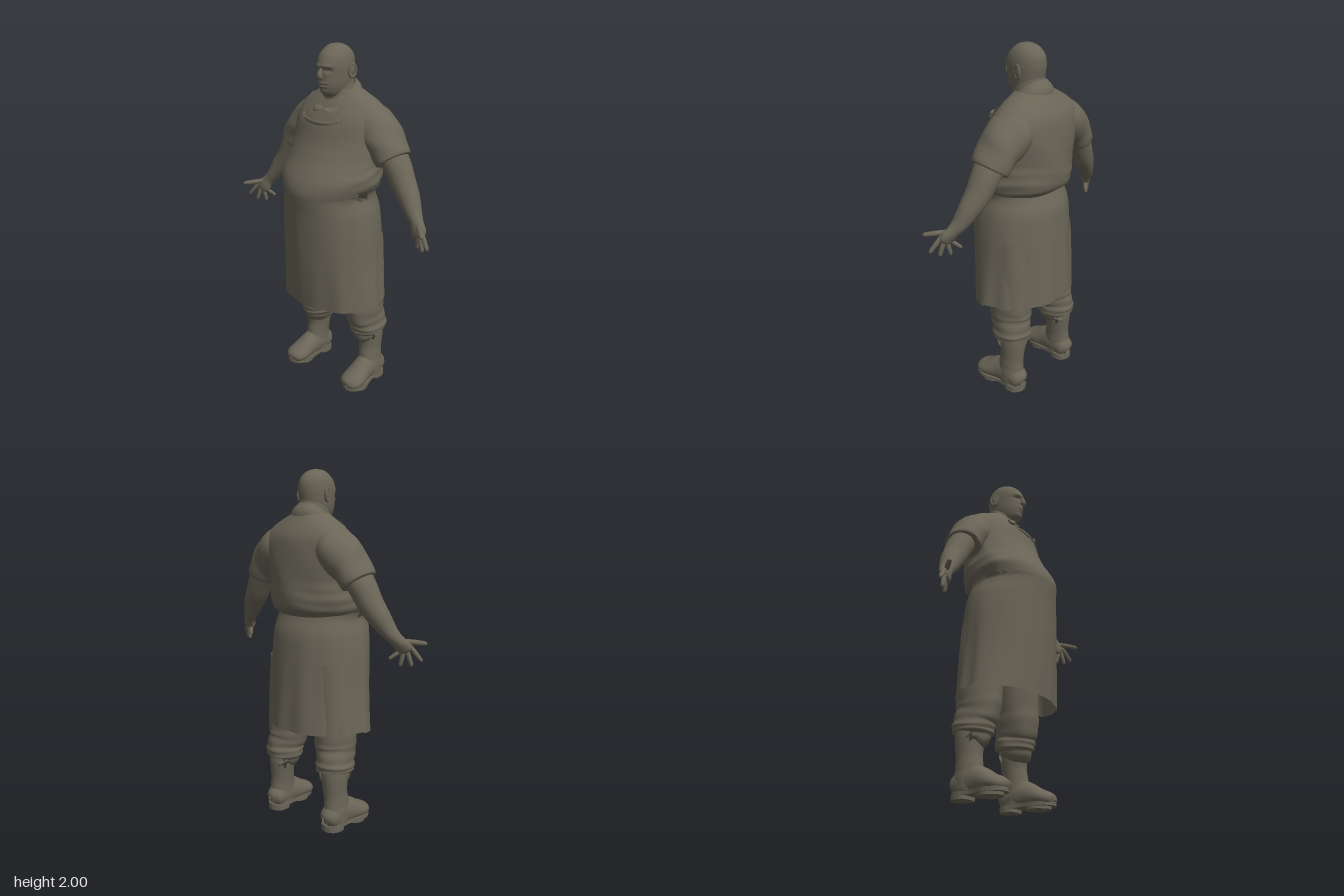
import * as THREE from 'three';

const clay = new THREE.MeshStandardMaterial({ color: 0x6a6557, side: THREE.DoubleSide });
clay.name = 'umberClay';
const { sin, cos, abs, max, min, exp, PI } = Math;
const V = (x, y, z) => new THREE.Vector3(x, y, z);
const lerp = THREE.MathUtils.lerp;
const bump = (d, w) => exp(-(d * d) / (w * w));

// Smooth interpolation of table rows, keyed on the ascending first column
function sample(rows, t) {
  const n = rows.length - 1;
  t = min(max(t, rows[0][0]), rows[n][0]);
  let i = 0;
  while (i < n - 1 && t > rows[i + 1][0]) i++;
  const a = rows[i], b = rows[i + 1], p = rows[max(i - 1, 0)], q = rows[min(i + 2, n)];
  const h = b[0] - a[0], s = (t - a[0]) / h, s2 = s * s, s3 = s2 * s;
  return a.map((_, k) => {
    const m0 = (b[k] - p[k]) / (b[0] - p[0]), m1 = (q[k] - a[k]) / (q[0] - a[0]);
    return (2 * s3 - 3 * s2 + 1) * a[k] + (s3 - 2 * s2 + s) * h * m0
      + (3 * s2 - 2 * s3) * b[k] + (s3 - s2) * h * m1;
  });
}

// Surface from fn(u, v); closed joins the u ends with smooth normals
function grid(name, nu, nv, closed, fn) {
  const pos = [], idx = [], w = closed ? nu : nu + 1;
  for (let j = 0; j <= nv; j++)
    for (let i = 0; i < w; i++) pos.push(...fn(i / nu, j / nv).toArray());
  for (let j = 0; j < nv; j++)
    for (let i = 0; i < nu; i++) {
      const a = j * w + i, b = j * w + (i + 1) % w;
      idx.push(a, b, a + w, b, b + w, a + w);
    }
  const g = new THREE.BufferGeometry();
  g.setAttribute('position', new THREE.Float32BufferAttribute(pos, 3));
  g.setIndex(idx);
  g.computeVertexNormals();
  return part(name, g);
}

function part(name, geo, x = 0, y = 0, z = 0) {
  const m = new THREE.Mesh(geo, clay);
  m.name = name;
  m.position.set(x, y, z);
  return m;
}

// Tube through rows [x, y, z, radiusAcross, radiusAlongRef]
function tube(name, rows, ref, { nu = 24, nv = 32, fold = () => 0, floor = -1 } = {}) {
  const keyed = rows.map((r, i) => [i, ...r]), n = rows.length - 1;
  return grid(name, nu, nv, true, (u, v) => {
    const [, x, y, z, a, b] = sample(keyed, v * n);
    const p0 = sample(keyed, v * n - 0.05), p1 = sample(keyed, v * n + 0.05);
    const t = V(p1[1] - p0[1], p1[2] - p0[2], p1[3] - p0[3]).normalize();
    const A = t.clone().cross(ref).normalize(), B = A.clone().cross(t);
    const th = u * 2 * PI, k = 1 + fold(th, v);
    const p = V(x, y, z).addScaledVector(A, sin(th) * max(a, 0.001) * k)
      .addScaledVector(B, cos(th) * max(b, 0.001) * k);
    p.y = max(p.y, floor);
    return p;
  });
}

// Point on a horizontal section [y, halfWidth, centreZ, frontZ, backZ]; angle 0 faces front
function ring([y, rx, cz, zf, zb], th, k = 1) {
  const c = cos(th);
  return V(max(rx, 0) * k * sin(th), y, cz + c * (c > 0 ? zf - cz : cz - zb) * k);
}

const shirtRows = [
  [1.17, 0.21, 0, 0.2, -0.17], [1.215, 0.25, 0, 0.245, -0.205], [1.245, 0.277, 0.01, 0.26, -0.25],
  [1.3, 0.293, 0.02, 0.24, -0.265], [1.4, 0.28, -0.01, 0.182, -0.265], [1.5, 0.29, -0.06, 0.135, -0.262],
  [1.6, 0.3, -0.09, 0.1, -0.252], [1.65, 0.28, -0.095, 0.075, -0.24], [1.7, 0.225, -0.09, 0.045, -0.212],
  [1.735, 0.165, -0.08, 0.02, -0.188], [1.765, 0.11, -0.07, 0.0, -0.165]];
// Last column: half-width of the apron front
const apronRows = [
  [0.54, 0.332, 0, 0.228, -0.275, 1], [0.8, 0.308, 0, 0.25, -0.262, 1], [1.0, 0.3, 0, 0.262, -0.25, 1],
  [1.12, 0.287, 0, 0.27, -0.237, 1], [1.2, 0.268, 0, 0.279, -0.205, 0.3], [1.24, 0.279, 0.01, 0.28, -0.195, 0.268],
  [1.3, 0.298, 0.02, 0.26, -0.2, 0.25], [1.4, 0.285, -0.01, 0.201, -0.2, 0.207], [1.5, 0.295, -0.06, 0.155, -0.2, 0.178],
  [1.6, 0.3, -0.09, 0.125, -0.2, 0.158], [1.66, 0.28, -0.09, 0.088, -0.2, 0.148]];
const headRows = [
  [1.71, 0.004, -0.01, 0.02, -0.04], [1.725, 0.045, -0.02, 0.05, -0.08], [1.75, 0.066, -0.03, 0.075, -0.11],
  [1.79, 0.079, -0.03, 0.088, -0.125], [1.84, 0.085, -0.03, 0.09, -0.135], [1.89, 0.087, -0.03, 0.096, -0.141],
  [1.94, 0.08, -0.03, 0.078, -0.133], [1.975, 0.06, -0.03, 0.042, -0.102], [1.993, 0.034, -0.03, 0.01, -0.067],
  [2.0, 0.001, -0.03, -0.029, -0.031]];

// Cloth folds that deepen towards the hem
const skirtFold = (th, y) => max(0, 1.2 - y) * (0.022 * sin(th * 9 + y * 2) + 0.016 * sin(th * 14 - y * 3));

function buildTorso(g) {
  g.add(grid('shirt', 72, 48, true, (u, v) => {
    const y = lerp(1.17, 1.765, v), th = u * 2 * PI;
    const low = bump(y - 1.3, 0.1);
    const k = low * 0.012 * sin(y * 95 + 3 * sin(th * 2)) * abs(sin(th)) + 0.006 * sin(th * 7 + y * 22);
    return ring(sample(shirtRows, y), th, 1 + k);
  }));
  g.add(grid('apronFront', 64, 64, false, (u, v) => {
    const s = u * 2 - 1, top = 1.597 + 0.055 * abs(s) ** 6;
    const y = lerp(top, 0.54 + 0.02 * s * s, v), row = sample(apronRows, y);
    const th = s * Math.asin(min(1, row[5] / row[1])) * 1.0;
    return ring(row, th, 1 + skirtFold(th, y) * 0.8);
  }));
  g.add(grid('apronBack', 64, 40, false, (u, v) => {
    const y = lerp(1.235, 0.565, v), th = PI * (0.48 + 1.04 * u);
    return ring(sample(apronRows, y), th, 0.985 + skirtFold(th, y));
  }));
  // Rolled upper hem of the bib
  const hem = [-0.12, -0.06, 0, 0.06, 0.12].map(x => [x, 1.597 + abs(x) ** 2 * 0.6, 0.128 - x * x * 2.2, 0.008, 0.012]);
  g.add(tube('bibHem', hem, V(0, 1, 0), { nu: 10 }));
  // Shirt collar, open at the throat
  g.add(grid('collar', 48, 8, false, (u, v) => {
    const th = lerp(0.1, 2 * PI - 0.1, u), f = (1 + cos(th)) / 2, point = bump(th < PI ? th - 0.55 : 2 * PI - 0.55 - th, 0.35);
    const r = lerp(0.092, 0.128, v) + 0.012 * sin(v * PI);
    const y = lerp(1.82 - 0.15 * f ** 1.3, 1.748 - 0.085 * f - 0.025 * point, v);
    return V(r * sin(th), y, lerp(-0.045, -0.05, v) + cos(th) * (r + f * 0.012 + point * v * 0.015));
  }));
}

function buildHead(g) {
  g.add(tube('neck', [[0, 1.6, -0.05, 0.11, 0.11], [0, 1.7, -0.05, 0.095, 0.09], [0, 1.77, -0.05, 0.084, 0.092],
    [0, 1.83, -0.045, 0.075, 0.088]], V(0, 0, 1)));
  g.add(grid('head', 64, 72, true, (u, v) => {
    const y = lerp(1.71, 2, sin(v * PI / 2) * 0.5 + v * 0.5), p = ring(sample(headRows, y), u * 2 * PI);
    if (p.z > 0) { // eye sockets, brow, lips and chin
      const ax = abs(p.x);
      p.z += -0.013 * bump(ax - 0.034, 0.02) * bump(y - 1.868, 0.013)
        + 0.007 * bump(ax - 0.03, 0.03) * bump(y - 1.89, 0.01)
        + 0.006 * bump(ax, 0.03) * (bump(y - 1.8, 0.006) + bump(y - 1.784, 0.006) - bump(y - 1.792, 0.004))
        + 0.006 * bump(ax, 0.03) * bump(y - 1.753, 0.015);
    }
    return p;
  }));
  g.add(tube('nose', [[0, 1.885, 0.088, 0.006, 0.006], [0, 1.865, 0.097, 0.01, 0.011], [0, 1.843, 0.106, 0.016, 0.015],
    [0, 1.83, 0.1, 0.016, 0.014], [0, 1.824, 0.095, 0.003, 0.003]], V(0, 0, 1), { nu: 14 }));
}

const fingers = [ // base, then tip
  [[0.6, 1.115, 0.01], [0.672, 1.102, 0.088], 0.015], [[0.622, 1.088, 0.01], [0.678, 1.016, 0.035], 0.013],
  [[0.606, 1.07, 0], [0.63, 0.987, 0.012], 0.013], [[0.59, 1.062, -0.008], [0.576, 0.985, -0.018], 0.0125],
  [[0.568, 1.062, -0.015], [0.528, 1.022, -0.052], 0.0115]];

// Everything that comes in pairs, made for +x
function buildSide() {
  const g = new THREE.Group(), Z = V(0, 0, 1), Y = V(0, 1, 0);
  g.add(tube('sleeve', [[0.13, 1.61, -0.1, 0.09, 0.1], [0.19, 1.58, -0.1, 0.115, 0.13], [0.26, 1.53, -0.095, 0.112, 0.128],
    [0.31, 1.475, -0.09, 0.098, 0.12], [0.355, 1.417, -0.088, 0.089, 0.112], [0.35, 1.423, -0.088, 0.07, 0.09]], Z,
    { nu: 36, fold: (th, v) => 0.02 * sin(th * 3 + v * 16) }));
  g.add(tube('arm', [[0.29, 1.5, -0.09, 0.075, 0.085], [0.37, 1.4, -0.088, 0.074, 0.082], [0.43, 1.3, -0.08, 0.067, 0.071],
    [0.48, 1.23, -0.066, 0.059, 0.06], [0.53, 1.16, -0.045, 0.042, 0.046], [0.562, 1.122, -0.028, 0.037, 0.034],
    [0.585, 1.09, -0.012, 0.046, 0.027], [0.6, 1.066, -0.004, 0.038, 0.018], [0.605, 1.056, 0, 0.002, 0.002]], Z, { nv: 48 }));
  for (const [a, b, r] of fingers) {
    const at = (t, k) => [...a.map((c, i) => lerp(c, b[i], t)), r * k, r * k];
    g.add(tube('finger', [at(-0.2, 0.9), at(0.3, 1), at(0.6, 0.92), at(0.9, 0.75), at(1, 0.1)], V(1, 0.2, 0.3), { nu: 10, nv: 12 }));
  }
  const ear = part('ear', new THREE.SphereGeometry(1, 16, 12), 0.09, 1.86, -0.045);
  ear.scale.set(0.012, 0.038, 0.022);
  ear.rotation.set(-0.15, -0.35, -0.12);
  g.add(ear);
  const rim = part('earRim', new THREE.TorusGeometry(0.022, 0.006, 8, 20), 0.097, 1.862, -0.047);
  rim.rotation.y = PI / 2 - 0.35;
  rim.scale.y = 1.5;
  g.add(rim);
  // Apron strap lying on the shirt, with its buckle
  g.add(grid('strap', 4, 20, false, (u, v) => {
    const y = lerp(1.61, 1.725, v), row = sample(shirtRows, y);
    const th = Math.asin(min(0.99, lerp(0.118, 0.148, u) / row[1]));
    return ring(row, th, 1.045).add(V(0, 0.006, 0.008));
  }));
  const buckle = part('buckle', new THREE.BoxGeometry(0.042, 0.028, 0.012), 0.13, 1.625, 0.105);
  buckle.rotation.set(-0.4, 0.35, 0);
  g.add(buckle);
  g.add(tube('trouserLeg', [[0.15, 0.95, -0.06, 0.13, 0.14], [0.18, 0.6, -0.068, 0.115, 0.132], [0.186, 0.48, -0.072, 0.106, 0.13],
    [0.197, 0.41, -0.088, 0.098, 0.12], [0.2, 0.36, -0.096, 0.104, 0.117], [0.203, 0.328, -0.1, 0.085, 0.1],
    [0.206, 0.335, -0.105, 0.06, 0.07]], Z,
    { nu: 40, nv: 60, fold: (th, v) => 0.035 * v * sin(v * 45 + 2 * sin(th + 1)) + 0.015 * sin(th * 5 + v * 9) }));
  g.add(tube('bootShaft', [[0.208, 0.36, -0.108, 0.07, 0.08], [0.208, 0.3, -0.108, 0.072, 0.08], [0.212, 0.22, -0.105, 0.064, 0.074],
    [0.216, 0.15, -0.1, 0.062, 0.08], [0.218, 0.09, -0.1, 0.064, 0.09], [0.218, 0.04, -0.1, 0.06, 0.085]], Z,
    { nu: 28, fold: (th, v) => 0.012 * sin(v * 30 + th) * v }));
  g.add(tube('bootFoot', [[0.215, 0.06, -0.197, 0.02, 0.03], [0.216, 0.07, -0.17, 0.056, 0.06], [0.217, 0.09, -0.09, 0.063, 0.09],
    [0.22, 0.083, -0.02, 0.063, 0.076], [0.225, 0.065, 0.05, 0.072, 0.054], [0.228, 0.055, 0.1, 0.068, 0.042],
    [0.23, 0.048, 0.13, 0.045, 0.028], [0.23, 0.045, 0.141, 0.004, 0.004]], Y, { nu: 28, floor: 0.025 }));
  const slab = (name, pts, h, y) => {
    const shape = new THREE.Shape(new THREE.CatmullRomCurve3(pts.map(([x, z]) => V(x, -z, 0)), true).getPoints(48)
      .slice(0, -1).map(p => new THREE.Vector2(p.x, p.y)));
    const geo = new THREE.ExtrudeGeometry(shape, { depth: h, bevelEnabled: false });
    geo.rotateX(-PI / 2);
    g.add(part(name, geo, 0, y, 0));
  };
  slab('bootSole', [[0.217, -0.197], [0.272, -0.16], [0.276, -0.05], [0.3, 0.05], [0.282, 0.115], [0.23, 0.14],
    [0.178, 0.115], [0.155, 0.05], [0.162, -0.05], [0.162, -0.16]], 0.02, 0.018);
  slab('bootHeel', [[0.217, -0.196], [0.268, -0.17], [0.274, -0.1], [0.217, -0.085], [0.162, -0.1], [0.165, -0.17]], 0.03, 0);
  slab('bootTread', [[0.225, -0.03], [0.28, 0], [0.292, 0.06], [0.23, 0.115], [0.162, 0.06], [0.17, 0]], 0.02, 0.003);
  return g;
}

export function createModel() {
  const model = new THREE.Group();
  model.name = 'apronedMan';
  buildTorso(model);
  buildHead(model);
  for (const s of [1, -1]) {
    const side = buildSide();
    side.name = s > 0 ? 'leftSide' : 'rightSide';
    side.scale.x = s;
    model.add(side);
  }
  return model;
}
